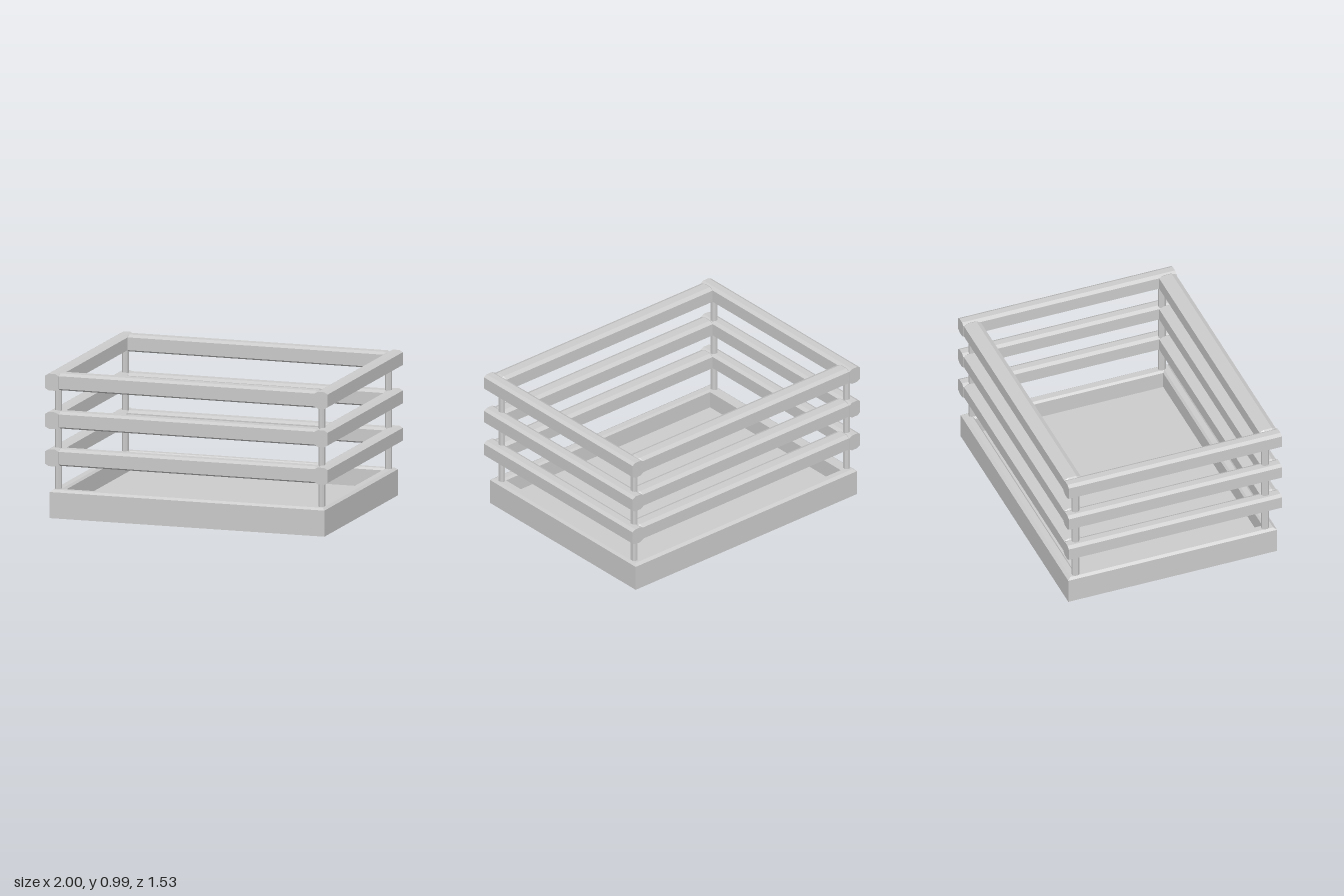
import * as THREE from 'three';

const material = new THREE.MeshStandardMaterial({ color: 0xcccccc, flatShading: true });

// Joins rings of [x, y, z] points, stacked upwards, and closes both ends.
function loft(rings) {
  const pos = [];
  const tri = (a, b, c) => pos.push(...a, ...b, ...c);
  const n = rings[0].length;
  for (let i = 0; i < rings.length - 1; i++) {
    for (let j = 0; j < n; j++) {
      const k = (j + 1) % n;
      const a = rings[i][j], b = rings[i][k], c = rings[i + 1][k], d = rings[i + 1][j];
      tri(a, b, c);
      tri(a, c, d);
    }
  }
  const last = rings[rings.length - 1];
  for (let j = 1; j < n - 1; j++) {
    tri(rings[0][0], rings[0][j + 1], rings[0][j]);
    tri(last[0], last[j], last[j + 1]);
  }
  const geo = new THREE.BufferGeometry();
  geo.setAttribute('position', new THREE.Float32BufferAttribute(pos, 3));
  geo.computeVertexNormals();
  return geo;
}

// Rectangle with chamfered corners at height y.
function chamferRing(w, d, cx, cz, y) {
  const x = w / 2, z = d / 2;
  return [
    [x - cx, y, z], [x, y, z - cz], [x, y, -z + cz], [x - cx, y, -z],
    [-x + cx, y, -z], [-x, y, -z + cz], [-x, y, z - cz], [-x + cx, y, z],
  ];
}

function rectRing(x, z, y) {
  return [[x, y, z], [x, y, -z], [-x, y, -z], [-x, y, z]];
}

function add(parent, name, geo, x, y, z) {
  const mesh = new THREE.Mesh(geo, material);
  mesh.name = name;
  mesh.position.set(x, y, z);
  parent.add(mesh);
}

export function createModel() {
  const crate = new THREE.Group();
  crate.name = 'slattedCrate';

  // Shallow tray with a bevelled rim
  const tray = loft([
    rectRing(0.973, 0.752, 0),
    rectRing(0.973, 0.752, 0.178),
    rectRing(0.955, 0.73, 0.192),
    rectRing(0.91, 0.69, 0.192),
    rectRing(0.897, 0.677, 0.178),
    rectRing(0.897, 0.677, 0.06),
  ]);
  add(crate, 'baseTray', tray, -0.005, 0, -0.01);

  // Corner posts
  const post = loft([0.16, 0.97].map((y) => chamferRing(0.042, 0.05, 0.012, 0.014, y)));
  for (const x of [-0.94, 0.925]) {
    for (const z of [-0.695, 0.67]) add(crate, 'cornerPost', post, x, 0, z);
  }

  // Side rails run the full depth with flat ends
  const sideRail = loft([-0.767, 0.767].map((y) => chamferRing(0.095, 0.115, 0.025, 0.014, y)));
  sideRail.rotateX(Math.PI / 2);

  // Front and back rails fit between them, with tapered ends
  const long = loft([
    chamferRing(0.085, 0.07, 0.008, 0.015, -0.93),
    chamferRing(0.115, 0.12, 0.014, 0.03, -0.905),
    chamferRing(0.115, 0.12, 0.014, 0.03, 0.905),
    chamferRing(0.085, 0.07, 0.008, 0.015, 0.93),
  ]);
  long.rotateZ(Math.PI / 2);

  for (const y of [0.417, 0.672, 0.933]) {
    const tier = new THREE.Group();
    tier.name = 'railTier';
    tier.position.y = y;
    for (const s of [-1, 1]) {
      add(tier, s > 0 ? 'leftRail' : 'rightRail', sideRail, s * 0.9525, 0, 0);
      add(tier, s > 0 ? 'frontRail' : 'backRail', long, 0, 0, s * 0.703);
    }
    crate.add(tier);
  }
  return crate;
}
